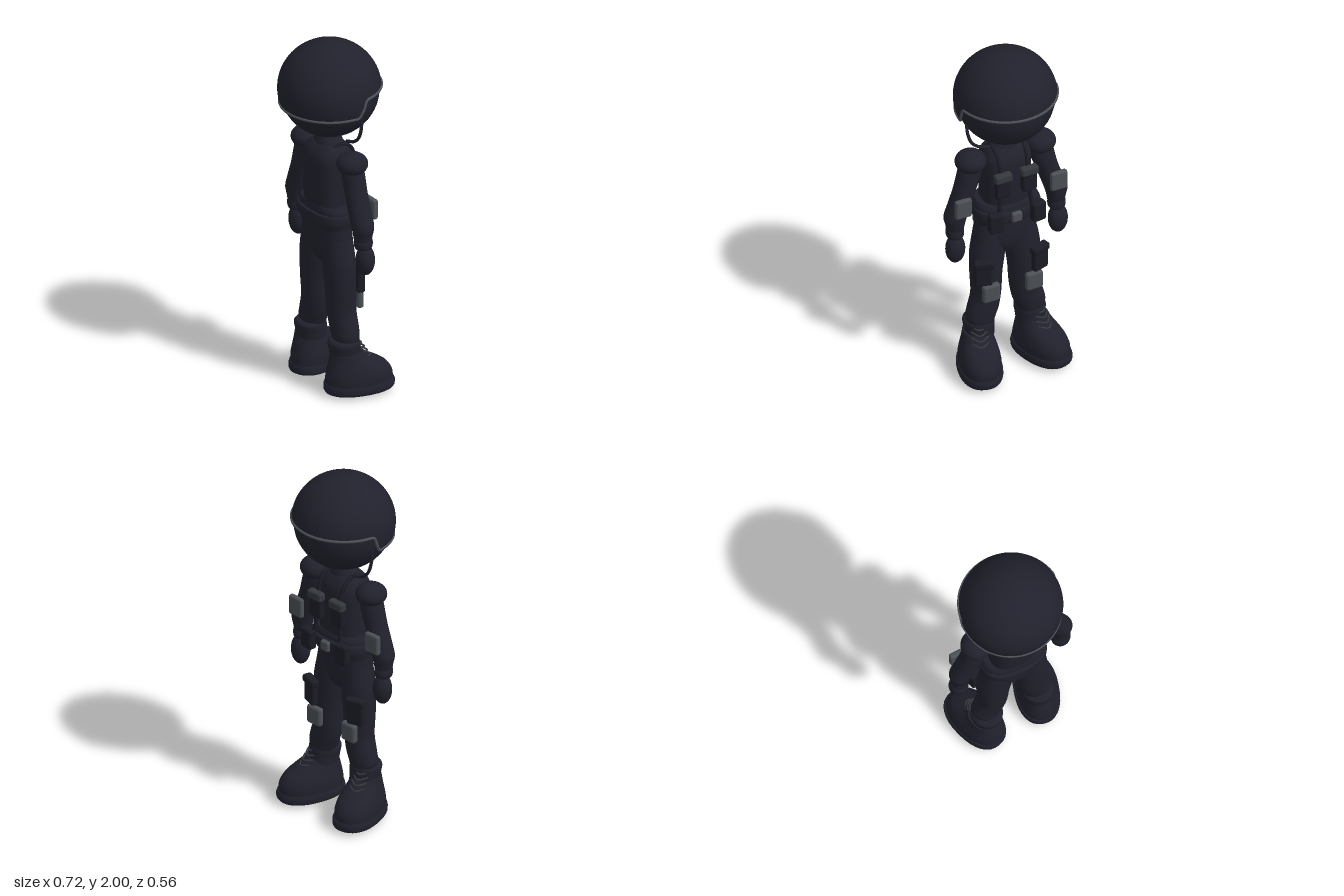
import * as THREE from 'three';
import { RoundedBoxGeometry } from 'three/addons/geometries/RoundedBoxGeometry.js';

const mat = (name, color) => { const m = new THREE.MeshStandardMaterial({ color }); m.name = name; return m; };
const SUIT = mat('dark navy cloth', 0x21212d);
const POUCH = mat('pouch black', 0x1b1c25);
const FLAP = mat('flap grey', 0x34383d);
const PAD = mat('pad grey', 0x4b5055);

// Skin closed rings of points, listed from bottom to top
function skin(rows) {
  const n = rows[0].length, pos = [], index = [];
  rows.forEach(r => r.forEach(p => pos.push(...p)));
  for (let i = 0; i < rows.length - 1; i++)
    for (let j = 0; j < n; j++) {
      const a = i * n + j, b = a + n, c = i * n + (j + 1) % n, d = c + n;
      index.push(a, b, c, c, b, d);
    }
  const g = new THREE.BufferGeometry();
  g.setAttribute('position', new THREE.Float32BufferAttribute(pos, 3));
  g.setIndex(index);
  g.computeVertexNormals();
  return g;
}

// Smooth capped loft; sections are [y, xMin, xMax, zMin, zMax]
function loft(sections, square = 2, seg = 32, steps = 5) {
  const mid = k => new THREE.CatmullRomCurve3(sections.map(s =>
    new THREE.Vector3((s[k] + s[k + 1]) / 2, s[0], (s[k + 1] - s[k]) / 2)), false, 'centripetal');
  const cx = mid(1), cz = mid(3), n = (sections.length - 1) * steps;
  const pw = v => Math.sign(v) * Math.abs(v) ** (2 / square);
  const ring = (t, k = 1) => {
    const X = cx.getPoint(t), Z = cz.getPoint(t);
    return Array.from({ length: seg }, (_, j) => {
      const a = j / seg * Math.PI * 2;
      return [X.x + k * X.z * pw(Math.cos(a)), X.y, Z.x + k * Z.z * pw(Math.sin(a))];
    });
  };
  const rows = [ring(0, 0.001), ring(0)];
  for (let i = 0; i <= n; i++) rows.push(ring(i / n));
  rows.push(ring(1), ring(1, 0.001));
  return skin(rows);
}

const tube = (pts, r, closed = false, n = 32) => new THREE.TubeGeometry(
  new THREE.CatmullRomCurve3(pts.map(p => new THREE.Vector3(...p)), closed), n, r, 8, closed);

export function createModel() {
  const model = new THREE.Group();
  model.name = 'helmetedFigure';
  const add = (name, geo, m = SUIT, parent = model) => {
    const o = new THREE.Mesh(geo, m);
    o.name = name;
    parent.add(o);
    return o;
  };
  const ball = (name, x, y, z, rx, ry, rz) => {
    const o = add(name, new THREE.SphereGeometry(1, 32, 20));
    o.position.set(x, y, z);
    o.scale.set(rx, ry, rz);
    return o;
  };
  const box = (name, x, y, z, w, h, d, m, turn = 0, r = 0.012) => {
    const o = add(name, new RoundedBoxGeometry(w, h, d, 2, Math.min(r, d * 0.45)), m);
    o.position.set(x, y, z);
    o.rotation.y = turn;
    return o;
  };

  // Head and helmet, with the helmet edge raised over the face
  const HY = 1.733;
  ball('head', 0, HY, 0, 0.267, 0.264, 0.267);
  const rimY = a => 1.655 + 0.1 * THREE.MathUtils.smoothstep(-0.275 * Math.sin(a), 0.0, 0.055);
  const dome = (a, t) => {
    const phi = t * Math.acos((rimY(a) - HY) / 0.267), s = Math.sin(phi);
    return [0.278 * s * Math.cos(a), HY + 0.267 * Math.cos(phi), 0.276 * s * Math.sin(a)];
  };
  const angles = Array.from({ length: 72 }, (_, j) => j / 72 * Math.PI * 2);
  const rows = [];
  for (let i = 0; i <= 24; i++) rows.push(angles.map(a => dome(a, Math.max(1 - i / 24, 0.001))));
  add('helmet', skin(rows));
  add('helmetRim', tube(angles.map(a => dome(a, 1)), 0.008, true, 200), PAD);

  // Torso, collar and belt
  add('torso', loft([[0.98, -0.135, 0.135, -0.09, 0.115], [1.1, -0.135, 0.135, -0.1, 0.12],
    [1.25, -0.138, 0.138, -0.105, 0.125], [1.36, -0.135, 0.135, -0.1, 0.12],
    [1.41, -0.11, 0.11, -0.075, 0.09], [1.43, -0.08, 0.08, -0.06, 0.07]], 2.6));
  add('collar', loft([[1.39, -0.105, 0.105, -0.075, 0.085], [1.43, -0.09, 0.09, -0.065, 0.075],
    [1.465, -0.06, 0.06, -0.055, 0.06]]));
  add('neck', new THREE.CylinderGeometry(0.055, 0.055, 0.1, 24)).position.y = 1.47;
  add('beltLining', loft([[0.955, -0.17, 0.17, -0.1, 0.115], [1.0, -0.18, 0.18, -0.11, 0.125],
    [1.06, -0.18, 0.18, -0.11, 0.125], [1.085, -0.165, 0.165, -0.1, 0.12]], 2.6));
  add('belt', loft([[0.99, -0.18, 0.18, -0.125, 0.135], [0.995, -0.187, 0.187, -0.13, 0.14],
    [1.045, -0.187, 0.187, -0.13, 0.14], [1.05, -0.18, 0.18, -0.125, 0.135]], 2.6));
  box('beltBuckle', 0, 1.02, -0.135, 0.06, 0.06, 0.03, PAD);

  // Hips and waistband
  add('hips', loft([[0.74, -0.05, 0.05, -0.05, 0.07], [0.8, -0.13, 0.13, -0.07, 0.095],
    [0.88, -0.17, 0.17, -0.077, 0.105], [0.97, -0.165, 0.165, -0.075, 0.11]], 2.4));
  add('waistband', loft([[0.935, -0.174, 0.174, -0.083, 0.115], [0.96, -0.174, 0.174, -0.083, 0.115]], 2.4));

  for (const s of [1, -1]) {
    // Mirror the left and right limits of each section
    const side = (sections, square) => loft(sections.map(([y, a, b, c, d]) =>
      s > 0 ? [y, a, b, c, d] : [y, -b, -a, c, d]), square);

    // Chin strap
    add('chinStrap', tube([[s * 0.245, 1.66, -0.03], [s * 0.24, 1.58, -0.035], [s * 0.215, 1.51, -0.035],
      [s * 0.17, 1.47, -0.035], [s * 0.11, 1.45, -0.035]], 0.009));

    // Arm, cuff and hand
    ball('shoulderPad', s * 0.205, 1.365, 0, 0.085, 0.062, 0.085);
    add('sleeve', side([[0.945, 0.253, 0.345, -0.048, 0.045], [0.98, 0.247, 0.35, -0.055, 0.05],
      [1.03, 0.235, 0.36, -0.062, 0.058], [1.1, 0.212, 0.337, -0.063, 0.06],
      [1.2, 0.178, 0.303, -0.062, 0.06], [1.3, 0.145, 0.28, -0.062, 0.06], [1.38, 0.145, 0.26, -0.055, 0.055]]));
    add('gloveCuff', side([[0.905, 0.258, 0.342, -0.048, 0.04], [0.915, 0.253, 0.347, -0.053, 0.045],
      [0.945, 0.253, 0.349, -0.054, 0.047], [0.96, 0.256, 0.344, -0.05, 0.043]]));
    ball('hand', s * 0.303, 0.832, -0.015, 0.054, 0.088, 0.05);
    box('elbowPad', s * 0.282, 1.12, -0.067, 0.095, 0.115, 0.032, PAD);

    // Chest harness and pouches
    add('harnessStrap', tube([[s * 0.085, 1.39, 0.06], [s * 0.085, 1.43, 0], [s * 0.083, 1.395, -0.075],
      [s * 0.08, 1.3, -0.11], [s * 0.085, 1.18, -0.113], [s * 0.1, 1.03, -0.125]], 0.012), POUCH);
    box('chestPouch', s * 0.078, 1.235, -0.122, 0.085, 0.14, 0.04, POUCH);
    box('chestPouchFlap', s * 0.078, 1.295, -0.128, 0.1, 0.05, 0.045, FLAP);
    box('beltPouch', s * 0.125, 1.02, -0.137, 0.08, 0.115, 0.05, POUCH, s * -0.12);

    // Trouser leg, thigh pocket and knee pad
    add('trouserLeg', side([[0.29, 0.075, 0.218, -0.065, 0.065], [0.33, 0.062, 0.23, -0.07, 0.073],
      [0.38, 0.044, 0.222, -0.072, 0.075], [0.47, 0.03, 0.197, -0.073, 0.082], [0.6, 0.022, 0.2, -0.075, 0.09],
      [0.74, 0.003, 0.2, -0.075, 0.096], [0.85, 0.003, 0.18, -0.07, 0.098], [0.92, 0.01, 0.168, -0.065, 0.095]]));
    box('thighPocket', s * 0.165, 0.655, -0.072, 0.095, 0.145, 0.045, POUCH, s * -0.3);
    box('thighPocketFlap', s * 0.165, 0.717, -0.077, 0.11, 0.042, 0.052, POUCH, s * -0.3);
    box('kneePad', s * 0.127, 0.525, -0.085, 0.1, 0.11, 0.038, PAD, 0, 0.016);

    // Boot, turned outwards
    const boot = new THREE.Group();
    boot.name = 'boot';
    boot.position.x = s * 0.165;
    boot.rotation.y = s * -0.28;
    model.add(boot);
    add('sole', loft([[0, -0.06, 0.06, -0.14, 0.04], [0.02, -0.115, 0.115, -0.25, 0.125],
      [0.05, -0.12, 0.12, -0.258, 0.13], [0.068, -0.116, 0.116, -0.252, 0.126]], 2.3), SUIT, boot);
    add('bootFoot', loft([[0.06, -0.112, 0.112, -0.248, 0.122], [0.11, -0.112, 0.112, -0.243, 0.12],
      [0.155, -0.102, 0.102, -0.212, 0.112], [0.185, -0.092, 0.092, -0.165, 0.105],
      [0.21, -0.084, 0.084, -0.115, 0.098], [0.24, -0.078, 0.078, -0.08, 0.09]], 2.2), SUIT, boot);
    add('bootCuff', side([[0.215, 0.073, 0.228, -0.08, 0.09], [0.25, 0.07, 0.232, -0.075, 0.095],
      [0.3, 0.066, 0.236, -0.07, 0.102], [0.315, 0.078, 0.224, -0.062, 0.092]]));
    for (let i = 0; i < 4; i++) {
      const y = 0.205 + i * 0.026, z = -0.125 + i * 0.017;
      add('bootLace', tube([[-0.045, y + 0.008, z + 0.035], [0, y, z], [0.045, y + 0.008, z + 0.035]], 0.005, false, 10), FLAP, boot);
    }
  }
  return model;
}
